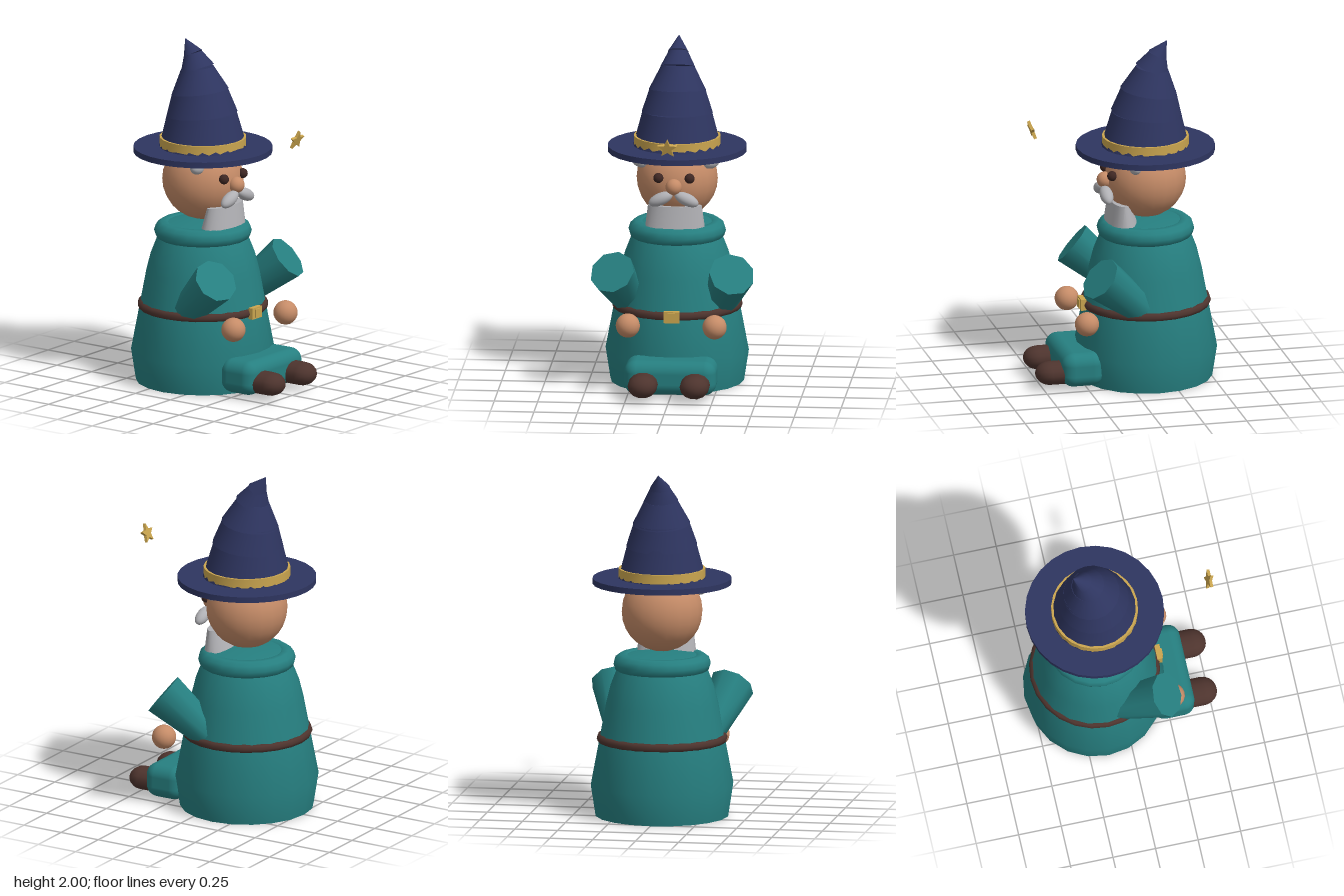
import * as THREE from 'three';
import { toCreasedNormals } from 'three/addons/utils/BufferGeometryUtils.js';
import { RoundedBoxGeometry } from 'three/addons/geometries/RoundedBoxGeometry.js';

const MAIN_Z = -0.14; // shared axis of body, head and hat

function material(name, color) {
  const m = new THREE.MeshStandardMaterial({ color });
  m.name = name;
  return m;
}

// Tapered cylinder running from point a to point b
function frustum(a, b, ra, rb, sides) {
  const dir = b.clone().sub(a);
  const g = new THREE.CylinderGeometry(rb, ra, dir.length(), sides);
  g.applyQuaternion(new THREE.Quaternion().setFromUnitVectors(
    new THREE.Vector3(0, 1, 0), dir.clone().normalize()));
  const mid = a.clone().add(b).multiplyScalar(0.5);
  return g.translate(mid.x, mid.y, mid.z);
}

export function createModel() {
  const model = new THREE.Group();
  model.name = 'seatedWizard';

  const teal = material('teal robe', 0x267f80);
  const navy = material('navy felt', 0x2e3560);
  const gold = material('gold', 0xcaa54f);
  const skin = material('skin', 0xc68c68);
  const brown = material('brown leather', 0x4e342e);
  const grey = material('grey hair', 0xb0b0b4);
  const dark = material('dark eyes', 0x3e2723);

  function add(name, geometry, mat, x = 0, y = 0, z = 0) {
    const mesh = new THREE.Mesh(geometry, mat);
    mesh.name = name;
    mesh.position.set(x, y, z);
    model.add(mesh);
    return mesh;
  }
  function ball(name, mat, x, y, z, rx, ry = rx, rz = rx) {
    const mesh = add(name, new THREE.SphereGeometry(1, 20, 14), mat, x, y, z);
    mesh.scale.set(rx, ry, rz);
    return mesh;
  }

  // Robe
  const profile = [[0, 0], [0.385, 0], [0.413, 0.18], [0.362, 0.45], [0.325, 0.65],
    [0.3, 0.75], [0.265, 0.84], [0.22, 0.93], [0, 0.965]].map(p => new THREE.Vector2(...p));
  add('robe', toCreasedNormals(new THREE.LatheGeometry(profile, 20), 0.6), teal, 0, 0, MAIN_Z);
  const collar = add('collar', new THREE.TorusGeometry(0.225, 0.056, 10, 20), teal, 0, 0.885, MAIN_Z);
  collar.rotation.x = Math.PI / 2;

  // Belt and buckle
  const belt = add('belt', new THREE.TorusGeometry(0.35, 0.027, 8, 24), brown, 0, 0.45, MAIN_Z);
  belt.rotation.x = Math.PI / 2;
  add('buckle', new THREE.BoxGeometry(0.09, 0.066, 0.03), gold, 0, 0.452, 0.235);
  add('bucklePlate', new THREE.BoxGeometry(0.044, 0.05, 0.008), gold, 0, 0.452, 0.254);

  // Lap and legs under the robe
  add('lap', new RoundedBoxGeometry(0.53, 0.2, 0.245, 5, 0.07), teal, 0, 0.12, 0.28);

  // Head, nose and beard
  ball('head', skin, 0, 1.19, MAIN_Z, 0.234);
  ball('nose', skin, 0, 1.188, 0.1, 0.047);
  const beard = new THREE.CylinderGeometry(0.155, 0.175, 0.15, 20);
  const pos = beard.attributes.position;
  for (let i = 0; i < pos.count; i++) {
    const low = pos.getY(i) < 0; // flattened, wider towards the bottom
    pos.setZ(i, pos.getZ(i) * (low ? 0.55 : 0.36) + (low ? 0.005 : 0.018));
  }
  add('beard', toCreasedNormals(beard, 0.7), grey, 0, 0.988, 0);

  // Mirrored parts; s = 1 is the model's left
  for (const s of [1, -1]) {
    const side = s > 0 ? 'left' : 'right';
    ball(side + 'Eye', dark, s * 0.09, 1.235, 0.078, 0.029);
    ball(side + 'Moustache', grey, s * 0.075, 1.118, 0.108, 0.074, 0.036, 0.038).rotation.z = -s * 0.42;
    ball(side + 'HairTuft', grey, s * 0.2, 1.307, -0.033, 0.051, 0.037, 0.034).rotation.z = s * 0.2;
    ball(side + 'Hand', skin, s * 0.25, 0.405, 0.265, 0.07);

    const sleeve = frustum(new THREE.Vector3(s * 0.25, 0.45, -0.085),
      new THREE.Vector3(s * 0.345, 0.705, 0.21), 0.085, 0.132, 9);
    add(side + 'Sleeve', toCreasedNormals(sleeve, 0.9), teal);

    const boot = add(side + 'Boot', new THREE.CapsuleGeometry(0.085, 0.12, 6, 14), brown, s * 0.15, 0.094, 0.4);
    boot.rotation.x = Math.PI / 2;
    boot.scale.z = 0.8;
  }

  // Hat brim and band
  add('hatBrim', toCreasedNormals(new THREE.CylinderGeometry(0.4, 0.4, 0.034, 28), 0.6),
    navy, 0, 1.367, MAIN_Z);
  add('hatBand', toCreasedNormals(new THREE.CylinderGeometry(0.25, 0.25, 0.053, 24), 0.6),
    gold, 0, 1.414, MAIN_Z);

  // Crooked crown: stacked tapering rings leaning back, [y, z, radius]
  const rings = [[1.38, -0.14, 0.25], [1.58, -0.147, 0.2], [1.71, -0.16, 0.16],
    [1.84, -0.18, 0.095], [1.92, -0.212, 0.054], [2.0, -0.266, 0.001]];
  for (let i = 0; i < rings.length - 1; i++) {
    const [y0, z0, r0] = rings[i], [y1, z1, r1] = rings[i + 1];
    const g = frustum(new THREE.Vector3(0, y0 - 0.006, z0), new THREE.Vector3(0, y1, z1),
      r0 + 0.005, r1, 20);
    add('hatCrown' + (i + 1), toCreasedNormals(g, 0.6), navy);
  }

  // Five-pointed star floating in front of the hat
  const star = new THREE.Shape();
  for (let i = 0; i < 10; i++) {
    const r = i % 2 ? 0.026 : 0.058, a = i * Math.PI / 5;
    star[i ? 'lineTo' : 'moveTo'](r * Math.sin(a), r * Math.cos(a));
  }
  star.closePath();
  const starGeo = new THREE.ExtrudeGeometry(star, { depth: 0.018, bevelEnabled: false });
  add('star', starGeo.translate(0, 0, -0.009), gold, 0, 1.52, 0.532).rotation.x = 0.33;

  return model;
}
